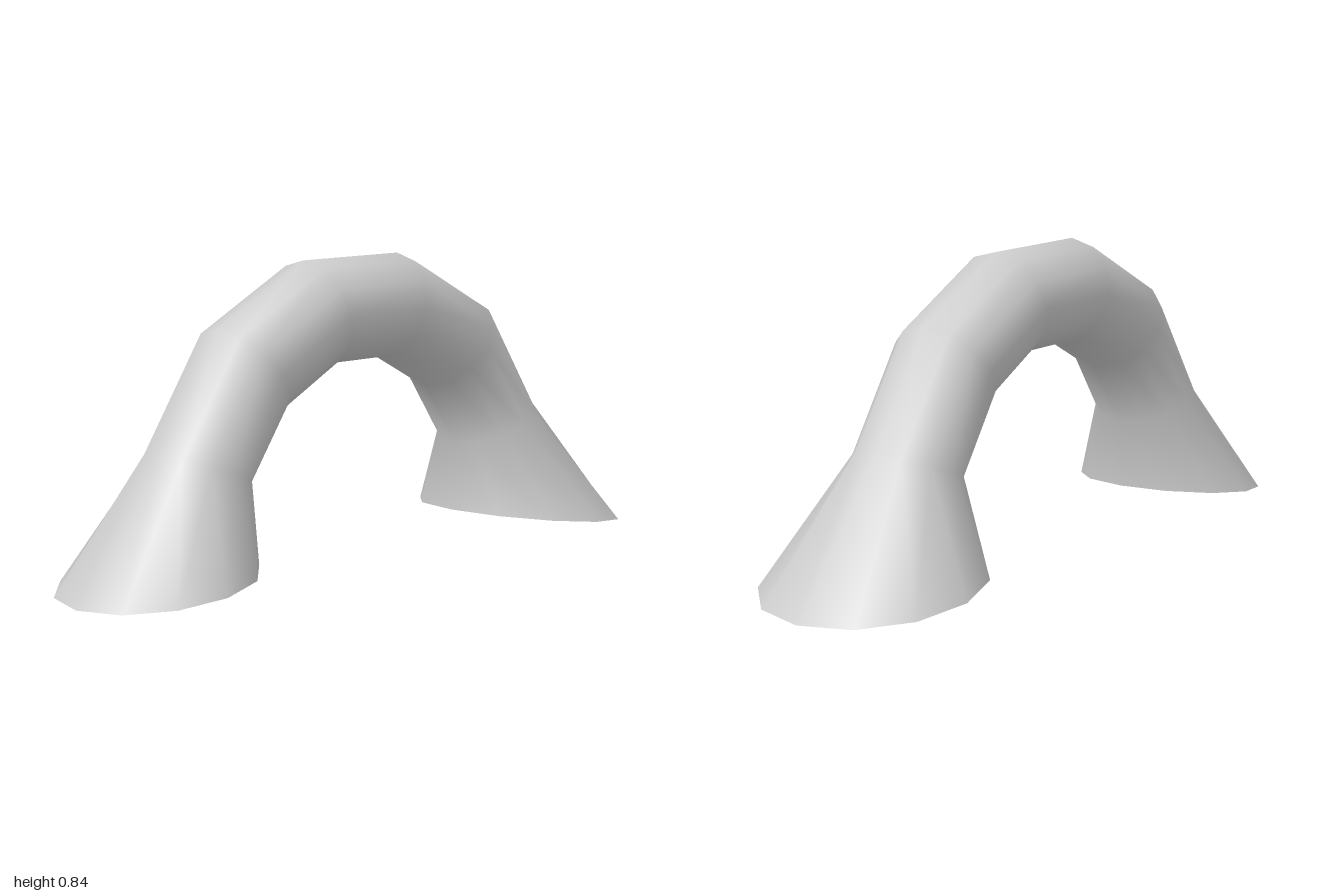
import * as THREE from 'three';

const SIDES = 12;

// Cross-sections from front foot to back foot:
// outer z, outer y, inner z, inner y, half width
const SECTIONS = [
  [1.0, 0.01, 0.46, 0.075, 0.272],
  [0.725, 0.372, 0.445, 0.275, 0.15],
  [0.52, 0.68, 0.32, 0.455, 0.15],
  [0.2, 0.845, 0.13, 0.555, 0.15],
  [-0.165, 0.845, -0.095, 0.555, 0.15],
  [-0.485, 0.68, -0.285, 0.455, 0.15],
  [-0.688, 0.38, -0.41, 0.275, 0.15],
  [-1.0, 0.003, -0.395, 0.078, 0.305],
];

// Joins the elliptical sections into one open-ended tube
function loftGeometry(sections) {
  const positions = [];
  const indices = [];
  sections.forEach(([oz, oy, iz, iy, halfWidth], i) => {
    for (let j = 0; j < SIDES; j++) {
      const a = (j / SIDES) * Math.PI * 2;
      const t = (1 - Math.cos(a)) / 2; // 0 on the outer bend, 1 on the inner
      positions.push(
        Math.sin(a) * halfWidth,
        THREE.MathUtils.lerp(oy, iy, t),
        THREE.MathUtils.lerp(oz, iz, t),
      );
      if (i === sections.length - 1) continue;
      const k = (j + 1) % SIDES;
      const p = i * SIDES + j, q = i * SIDES + k;
      indices.push(p, q, p + SIDES, q, q + SIDES, p + SIDES);
    }
  });
  const geometry = new THREE.BufferGeometry();
  geometry.setAttribute('position', new THREE.Float32BufferAttribute(positions, 3));
  geometry.setIndex(indices);
  geometry.computeVertexNormals();
  return geometry;
}

export function createModel() {
  const group = new THREE.Group();
  group.name = 'archedPipe';

  // Arched pipe with flared, open feet
  const material = new THREE.MeshStandardMaterial({ color: 0xcccccc, side: THREE.DoubleSide });
  const pipe = new THREE.Mesh(loftGeometry(SECTIONS), material);
  pipe.name = 'flaredArchTube';
  group.add(pipe);

  return group;
}
